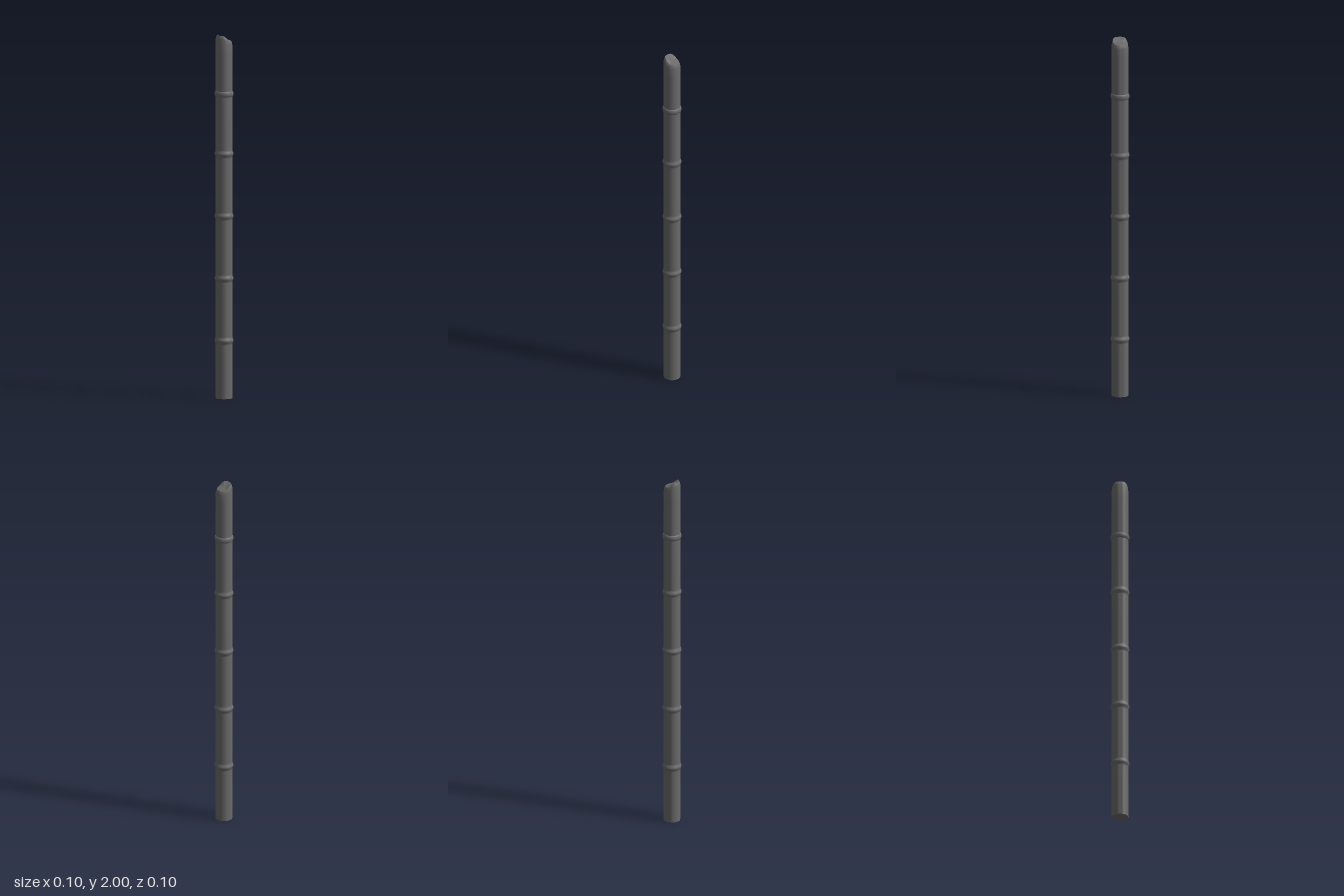
import * as THREE from 'three';
import { toCreasedNormals } from 'three/addons/utils/BufferGeometryUtils.js';

const SEGMENTS = 32;
const RADIUS = 0.045;
const material = new THREE.MeshStandardMaterial({ color: 0x6a6a6a });

function lathe(points) {
  return new THREE.LatheGeometry(points.map(([r, y]) => new THREE.Vector2(r, y)), SEGMENTS);
}

// Height of the cut rim: a raised lip on the -x side, stepping down towards +x
function cutHeight(x) {
  const steps = [[-0.05, 2], [-0.023, 2], [-0.012, 1.99], [0.01, 1.973], [0.05, 1.966]];
  const i = Math.max(1, steps.findIndex(([end]) => x <= end));
  const [x0, y0] = steps[i - 1];
  const [x1, y1] = steps[i];
  return THREE.MathUtils.mapLinear(x, x0, x1, y0, y1);
}

// Stalk with a flat foot and a stepped, bevelled tip around a raised centre
function createStalk() {
  const geometry = lathe([
    [0.0001, 0], [RADIUS, 0], [RADIUS, 1.9],
    [RADIUS, 1.98], [0.043, 1.99], [0.038, 2], [0.0001, 1.982],
  ]);
  const p = geometry.attributes.position;
  for (let i = 0; i < p.count; i++) {
    const x = p.getX(i), y = p.getY(i);
    const r = Math.hypot(x, p.getZ(i));
    if (y > 1.95 && r > 0.01) p.setY(i, y - 2 + cutHeight(x));
  }
  const mesh = new THREE.Mesh(toCreasedNormals(geometry, 0.5), material);
  mesh.name = 'stalk';
  return mesh;
}

// Joint swelling that blends softly into the stalk
function createSoftJoint(y) {
  const half = 0.021;
  const profile = [];
  for (let i = 0; i <= 10; i++) {
    const t = i / 5 - 1;
    profile.push([RADIUS + 0.0065 * Math.cos(t * Math.PI / 2) ** 2, t * half]);
  }
  const mesh = new THREE.Mesh(lathe(profile), material);
  mesh.position.y = y;
  mesh.name = 'jointRing';
  return mesh;
}

// Crisper rounded collar below the tip
function createTopJoint(y) {
  const half = 0.016;
  const profile = [];
  for (let i = 0; i <= 8; i++) {
    const a = -Math.PI / 2 + (i / 8) * Math.PI;
    profile.push([RADIUS - 0.001 + 0.0075 * Math.cos(a), half * Math.sin(a)]);
  }
  const mesh = new THREE.Mesh(lathe(profile), material);
  mesh.position.y = y;
  mesh.name = 'topJointRing';
  return mesh;
}

export function createModel() {
  const group = new THREE.Group();
  group.name = 'bambooPole';
  group.add(createStalk());
  for (let i = 0; i < 4; i++) group.add(createSoftJoint(0.318 + i * 0.343));
  group.add(createTopJoint(1.677));
  return group;
}
